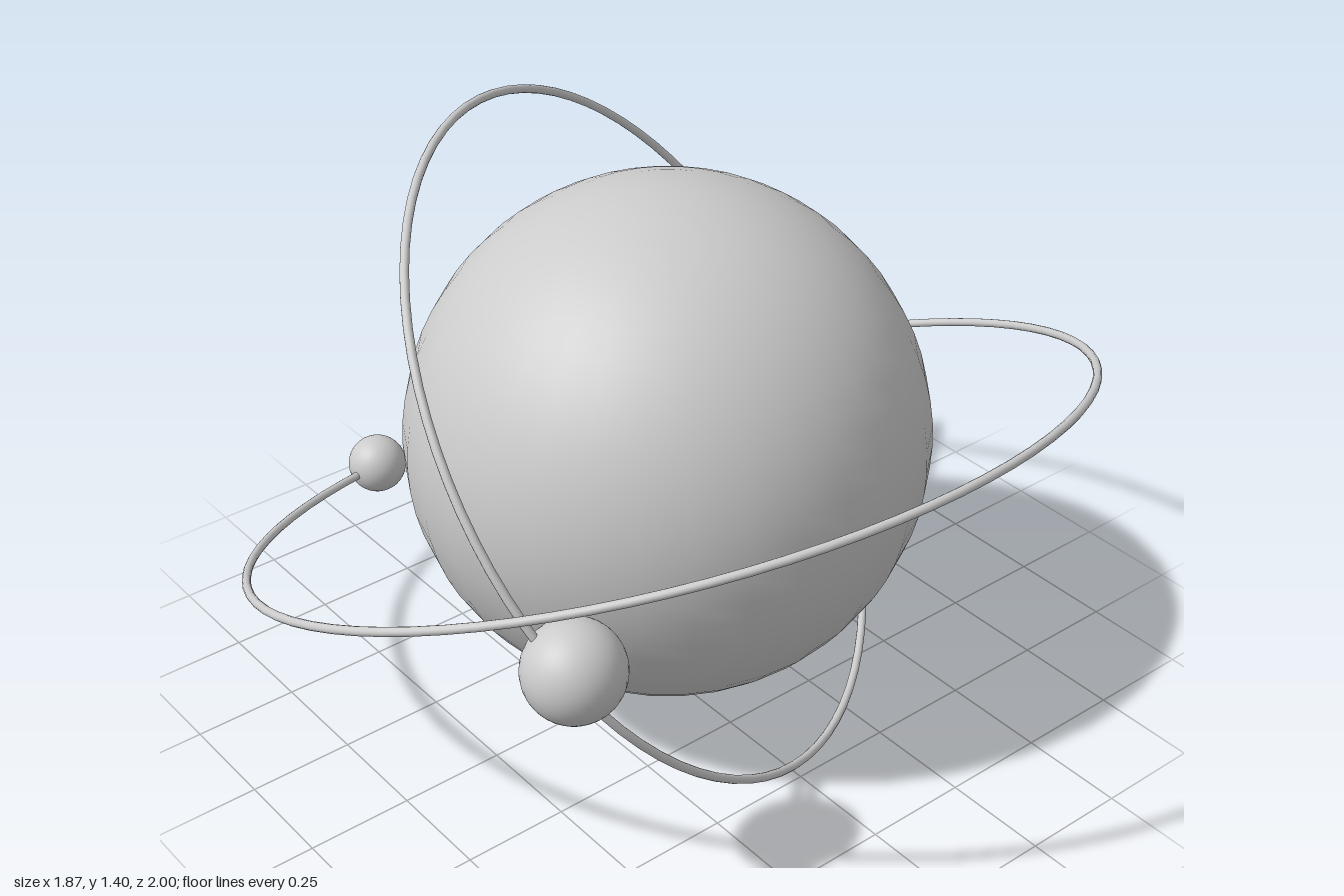
import * as THREE from 'three';

export function createModel() {
  const model = new THREE.Group();
  const material = new THREE.MeshStandardMaterial({ color: 0xcccccc });

  function addBall(name, radius, position, segments = 32, rings = 32) {
    const mesh = new THREE.Mesh(new THREE.SphereGeometry(radius, segments, rings), material);
    mesh.name = name;
    mesh.position.set(...position);
    model.add(mesh);
  }

  // A thin ring lying in the plane perpendicular to the given normal
  function addRing(name, radius, position, normal) {
    const mesh = new THREE.Mesh(new THREE.TorusGeometry(radius, 0.01, 12, 80), material);
    mesh.name = name;
    mesh.position.set(...position);
    mesh.quaternion.setFromUnitVectors(
      new THREE.Vector3(0, 0, 1),
      new THREE.Vector3(...normal).normalize()
    );
    model.add(mesh);
  }

  // Central planet
  addBall('planet', 0.6, [0.013, 0.703, 0]);

  // Wide orbit, tilted about the z axis, with its small moon
  const tilt = 0.4;
  addRing('outerOrbit', 0.99, [0.011, 0.63, 0], [-Math.sin(tilt), Math.cos(tilt), 0]);
  addBall('smallMoon', 0.073, [-0.866, 0.268, 0.246]);

  // Steep inner orbit with its larger moon
  addRing('innerOrbit', 0.836, [-0.03, 0.7, -0.003], [0.682, 0.567, -0.461]);
  addBall('largeMoon', 0.112, [0.494, 0.622, 0.632]);

  return model;
}
